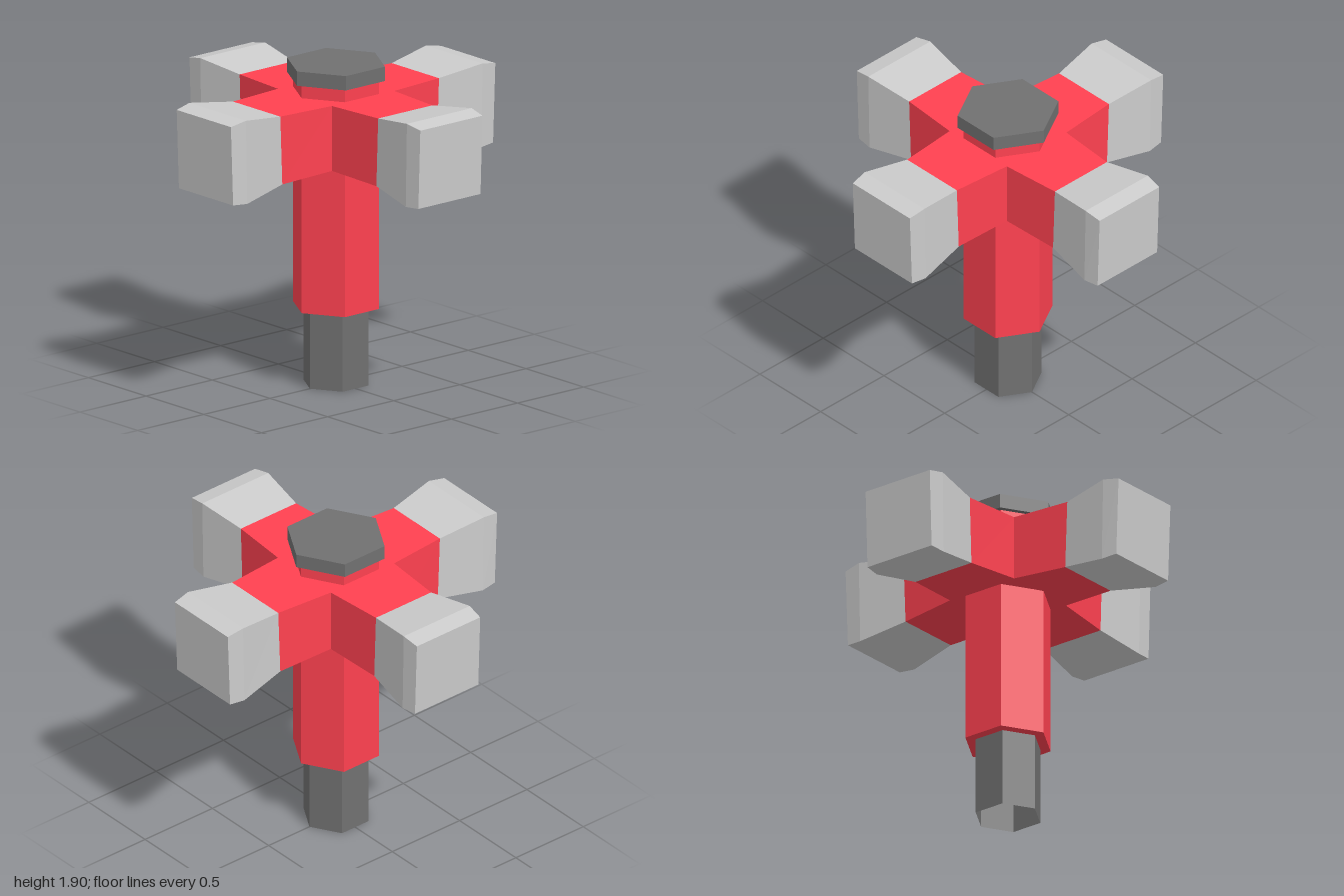
import * as THREE from 'three';

const material = (color, side = THREE.FrontSide) =>
  new THREE.MeshStandardMaterial({ color, side, flatShading: true });

// Upright hexagonal prism with corners on the z axis
function hexPrism(name, radius, bottom, top, mat, open = false) {
  const geo = new THREE.CylinderGeometry(radius, radius, top - bottom, 6, 1, open);
  const mesh = new THREE.Mesh(geo, mat);
  mesh.name = name;
  mesh.position.y = (top + bottom) / 2;
  return mesh;
}

// Skins rectangular sections along +x: { xTop, xBottom, top, bottom, half }
function loft(sections, capEnd) {
  const rings = sections.map(s => [
    [s.xTop, s.top, s.half],
    [s.xTop, s.top, -s.half],
    [s.xBottom, s.bottom, -s.half],
    [s.xBottom, s.bottom, s.half],
  ]);
  const pos = [];
  const quad = (a, b, c, d) => pos.push(...a, ...b, ...c, ...a, ...c, ...d);
  for (let i = 0; i < rings.length - 1; i++) {
    const a = rings[i], b = rings[i + 1];
    for (let k = 0; k < 4; k++) {
      const n = (k + 1) % 4;
      quad(a[k], b[k], b[n], a[n]);
    }
  }
  if (capEnd) {
    const e = rings[rings.length - 1];
    quad(e[3], e[2], e[1], e[0]);
  }
  const geo = new THREE.BufferGeometry();
  geo.setAttribute('position', new THREE.Float32BufferAttribute(pos, 3));
  geo.computeVertexNormals();
  return geo;
}

export function createModel() {
  const model = new THREE.Group();
  model.name = 'fourArmedHammer';
  const red = material(0xff4150);
  const steel = material(0xcccccc);
  const dark = material(0x707070);
  const darkOpen = material(0x707070, THREE.DoubleSide);

  // Central column: hollow grip, red shaft, flat hexagonal lid
  model.add(
    hexPrism('grip', 0.197, 0, 0.46, darkOpen, true),
    hexPrism('shaft', 0.26, 0.46, 1.82, red),
    hexPrism('lid', 0.295, 1.815, 1.9, dark),
  );

  // Arm sections from the centre mitre out to the striking face
  const centre = { xTop: 0, xBottom: 0, top: 1.735, bottom: 1.35, half: 0 };
  const root = { xTop: 0.235, xBottom: 0.235, top: 1.735, bottom: 1.35, half: 0.235 };
  const collar = { xTop: 0.6, xBottom: 0.585, top: 1.735, bottom: 1.33, half: 0.205 };
  const flare = { xTop: 0.895, xBottom: 0.885, top: 1.775, bottom: 1.28, half: 0.245 };
  const face = { xTop: 1, xBottom: 0.983, top: 1.755, bottom: 1.287, half: 0.235 };
  const armGeo = loft([centre, root, collar], false);
  const headGeo = loft([collar, flare, face], true);

  // Four identical arms with steel heads
  for (let i = 0; i < 4; i++) {
    const group = new THREE.Group();
    group.name = 'hammerArm' + (i + 1);
    const arm = new THREE.Mesh(armGeo, red);
    arm.name = 'arm';
    const head = new THREE.Mesh(headGeo, steel);
    head.name = 'head';
    group.add(arm, head);
    group.rotation.y = (i * Math.PI) / 2;
    model.add(group);
  }
  return model;
}
